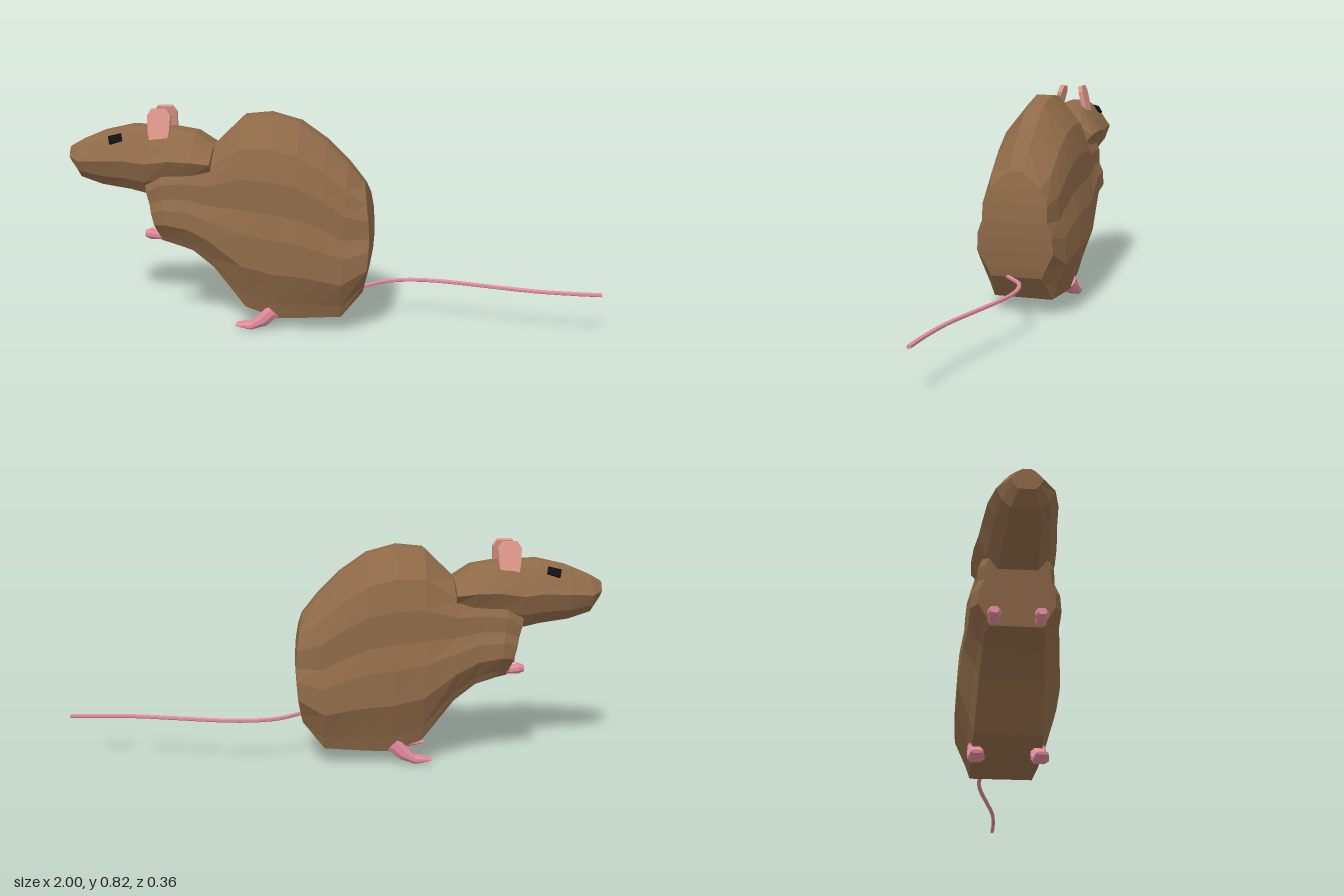
import * as THREE from 'three';

const mat = (color) => new THREE.MeshStandardMaterial({ color, flatShading: true });

// Skins slanted cross-sections [topX, topY, bottomX, bottomY, halfWidth, bow], ordered from -x to +x.
// The profile lists [height fraction, width fraction] from bottom to top and is mirrored in z.
function loft(sections, profile, zMid = 0) {
  const n = profile.length, ringSize = n * 2;
  const pos = [], index = [];
  for (const [tx, ty, bx, by, w, bow = 0] of sections) {
    const half = profile.map(([t, f]) => [bx + (tx - bx) * t + bow * 4 * t * (1 - t), by + (ty - by) * t, w * f]);
    for (const [x, y, z] of half) pos.push(x, y, zMid + z);
    for (const [x, y, z] of [...half].reverse()) pos.push(x, y, zMid - z);
  }
  const quad = (a, b, c, d) => index.push(a, b, c, a, c, d);
  for (let s = 0; s < sections.length - 1; s++) {
    for (let i = 0; i < ringSize; i++) {
      const j = (i + 1) % ringSize, a = s * ringSize, b = a + ringSize;
      quad(a + i, b + i, b + j, a + j);
    }
  }
  // end caps as mirrored strips
  const e = (sections.length - 1) * ringSize;
  for (let i = 0; i < n - 1; i++) {
    const m = ringSize - 1 - i;
    quad(i, i + 1, m - 1, m);
    quad(e + i, e + m, e + m - 1, e + i + 1);
  }
  const g = new THREE.BufferGeometry();
  g.setAttribute('position', new THREE.Float32BufferAttribute(pos, 3));
  g.setIndex(index);
  const flat = g.toNonIndexed();
  flat.computeVertexNormals();
  return flat;
}

export function createModel() {
  const model = new THREE.Group();
  const fur = mat(0x8f6a48), pink = mat(0xe08c9c), earPink = mat(0xe0988a), black = mat(0x111111);
  const add = (name, geometry, material) => {
    const mesh = new THREE.Mesh(geometry, material);
    mesh.name = name;
    model.add(mesh);
    return mesh;
  };

  // hunched body, from chest to rump
  const bodyProfile = [[0, 0.67], [0.08, 0.76], [0.25, 1], [0.42, 0.97], [0.54, 0.85], [0.7, 0.84], [0.85, 0.68], [1, 0.18]];
  add('body', loft([
    [-0.71, 0.60, -0.64, 0.33, 0.125],
    [-0.64, 0.65, -0.60, 0.325, 0.148],
    [-0.54, 0.67, -0.52, 0.30, 0.15],
    [-0.445, 0.69, -0.44, 0.24, 0.162],
    [-0.33, 0.80, -0.32, 0.09, 0.176],
    [-0.23, 0.81, -0.20, 0.05, 0.178],
    [-0.12, 0.78, -0.12, 0.053, 0.178],
    [-0.02, 0.71, -0.04, 0.058, 0.174],
    [0.06, 0.63, 0.04, 0.063, 0.17],
    [0.12, 0.555, 0.12, 0.16, 0.147, 0.025],
  ], bodyProfile), fur);

  // pointed head running back into the neck
  const headProfile = [[0, 0.5], [0.2, 0.8], [0.5, 1], [0.75, 0.7], [0.9, 0.5], [1, 0.25]];
  add('head', loft([
    [-1.0, 0.67, -0.99, 0.605, 0.05],
    [-0.955, 0.695, -0.955, 0.56, 0.09],
    [-0.87, 0.73, -0.87, 0.535, 0.11],
    [-0.76, 0.755, -0.76, 0.52, 0.12],
    [-0.68, 0.752, -0.70, 0.507, 0.128],
    [-0.59, 0.748, -0.60, 0.54, 0.138],
    [-0.51, 0.735, -0.51, 0.55, 0.143],
    [-0.44, 0.69, -0.44, 0.58, 0.14],
  ], headProfile), fur);

  // rounded ear outline, narrowing towards its root
  const earShape = new THREE.Shape([
    [-0.03, -0.07], [0.03, -0.07], [0.04, -0.02], [0.044, 0.04], [0.028, 0.066], [-0.028, 0.066], [-0.044, 0.04], [-0.04, -0.02],
  ].map(([x, y]) => new THREE.Vector2(x, y)));
  const earGeometry = new THREE.ExtrudeGeometry(earShape, { depth: 0.018, bevelEnabled: false });
  earGeometry.translate(0, 0, -0.009);

  const limbProfile = [[0, 0.6], [0.3, 1], [0.7, 1], [1, 0.6]];
  for (const [side, s] of [['left', 1], ['right', -1]]) {
    const ear = add(side + 'Ear', earGeometry, earPink);
    ear.position.set(-0.643, 0.758, s * 0.055);
    ear.rotation.x = -s * 0.24;

    const eye = add(side + 'Eye', new THREE.BoxGeometry(0.05, 0.032, 0.01), black);
    eye.position.set(-0.807, 0.711, s * 0.069);
    eye.rotation.set(-s * 0.62, 0, 0.27);

    add(side + 'FrontPaw', loft([
      [-0.705, 0.364, -0.705, 0.342, 0.014],
      [-0.685, 0.372, -0.685, 0.335, 0.022],
      [-0.66, 0.362, -0.66, 0.333, 0.016],
      [-0.61, 0.372, -0.61, 0.335, 0.022],
    ], limbProfile, s * 0.075), pink);

    add(side + 'HindFoot', loft([
      [-0.36, 0.019, -0.357, 0.009, 0.02],
      [-0.30, 0.03, -0.30, 0, 0.028],
      [-0.267, 0.062, -0.24, 0.02, 0.028],
      [-0.235, 0.10, -0.195, 0.058, 0.026],
    ], limbProfile, s * 0.108), pink);
  }

  // thin tail, level with the ground and curving sideways
  const tailPath = new THREE.CatmullRomCurve3([
    [0.11, 0.04], [0.145, 0.01], [0.2, -0.035], [0.27, -0.058], [0.35, -0.063], [0.45, -0.05],
    [0.6, -0.015], [0.75, 0.018], [0.9, 0.032], [1, 0.034],
  ].map(([x, z]) => new THREE.Vector3(x, 0.16, z)));
  add('tail', new THREE.TubeGeometry(tailPath, 30, 0.008, 6), pink);
  const tip = add('tailTip', new THREE.CircleGeometry(0.008, 6), pink);
  tip.position.set(1, 0.16, 0.034);
  tip.rotation.y = Math.PI / 2;

  return model;
}
